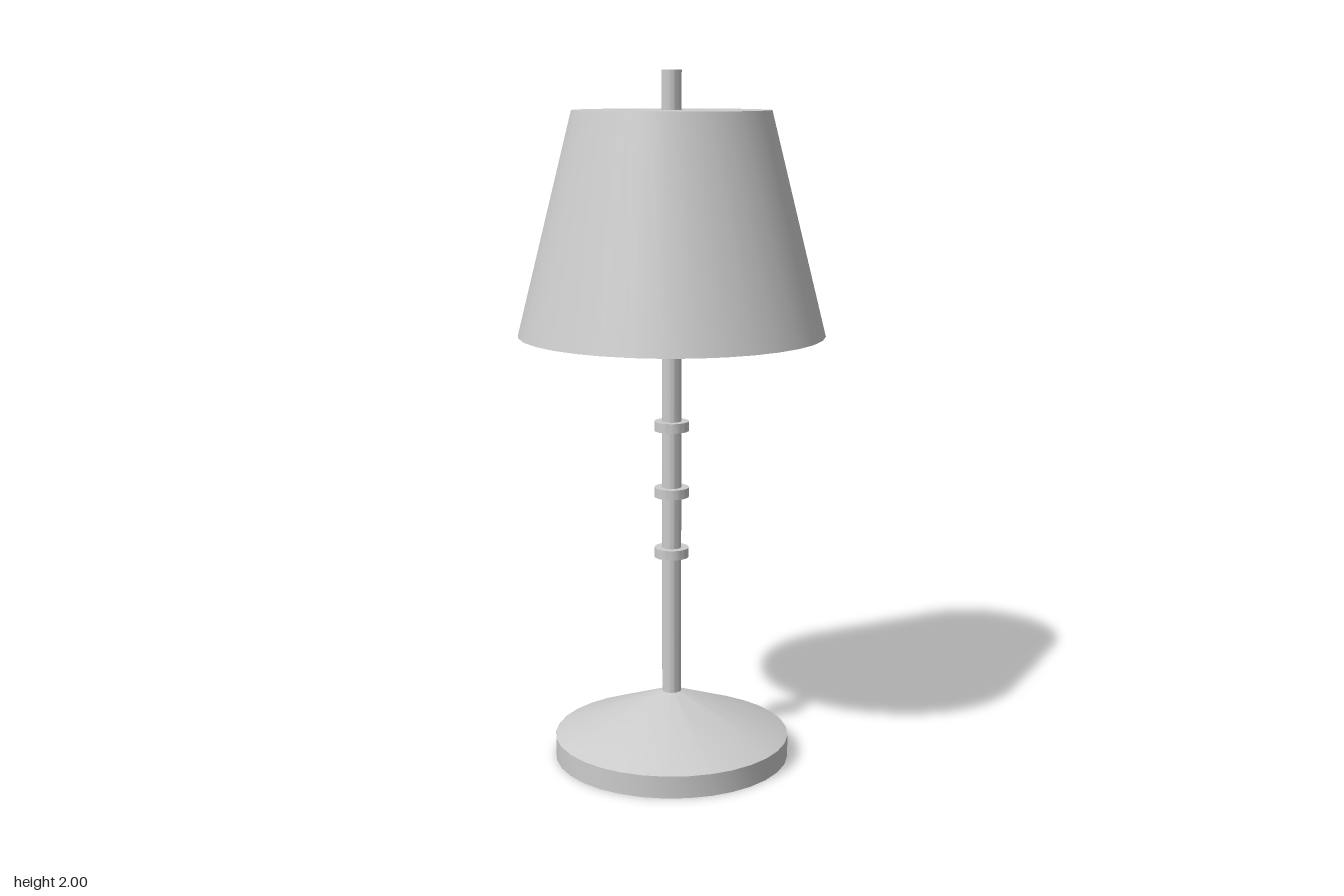
import * as THREE from 'three';
import { toCreasedNormals } from 'three/addons/utils/BufferGeometryUtils.js';

const SIDES = 33;

export function createModel() {
  const lamp = new THREE.Group();
  lamp.name = 'tableLamp';
  const smooth = new THREE.MeshStandardMaterial({ color: 0xcccccc });
  const faceted = new THREE.MeshStandardMaterial({ color: 0xcccccc, flatShading: true });

  // Turn a profile of [radius, height] pairs; sharp corners stay sharp
  function turned(name, profile, material = smooth) {
    const points = profile.map(([r, y]) => new THREE.Vector2(r, y));
    const geometry = new THREE.LatheGeometry(points, SIDES, Math.PI / 2);
    const mesh = new THREE.Mesh(toCreasedNormals(geometry, 0.4), material);
    mesh.name = name;
    lamp.add(mesh);
  }

  // Foot: short drum with a shallow cone on top
  turned('base', [[0, 0], [0.345, 0], [0.345, 0.065], [0.028, 0.195], [0, 0.195]]);

  // Pole running right through the shade
  turned('pole', [[0, 0.18], [0.028, 0.18], [0.028, 2], [0, 2]]);

  // Decorative collars on the pole
  for (const y of [0.62, 0.8, 0.995]) {
    turned('collar', [[0.02, y - 0.014], [0.05, y - 0.014], [0.05, y + 0.014], [0.02, y + 0.014]]);
  }

  // Shade: closed top, open bottom, with a thin rim
  turned('shadeOuter', [[0.422, 1.26], [0.438, 1.26], [0.28, 1.89], [0, 1.89]]);
  turned('shadeInner', [[0, 1.875], [0.268, 1.875], [0.422, 1.26]], faceted);

  return lamp;
}
